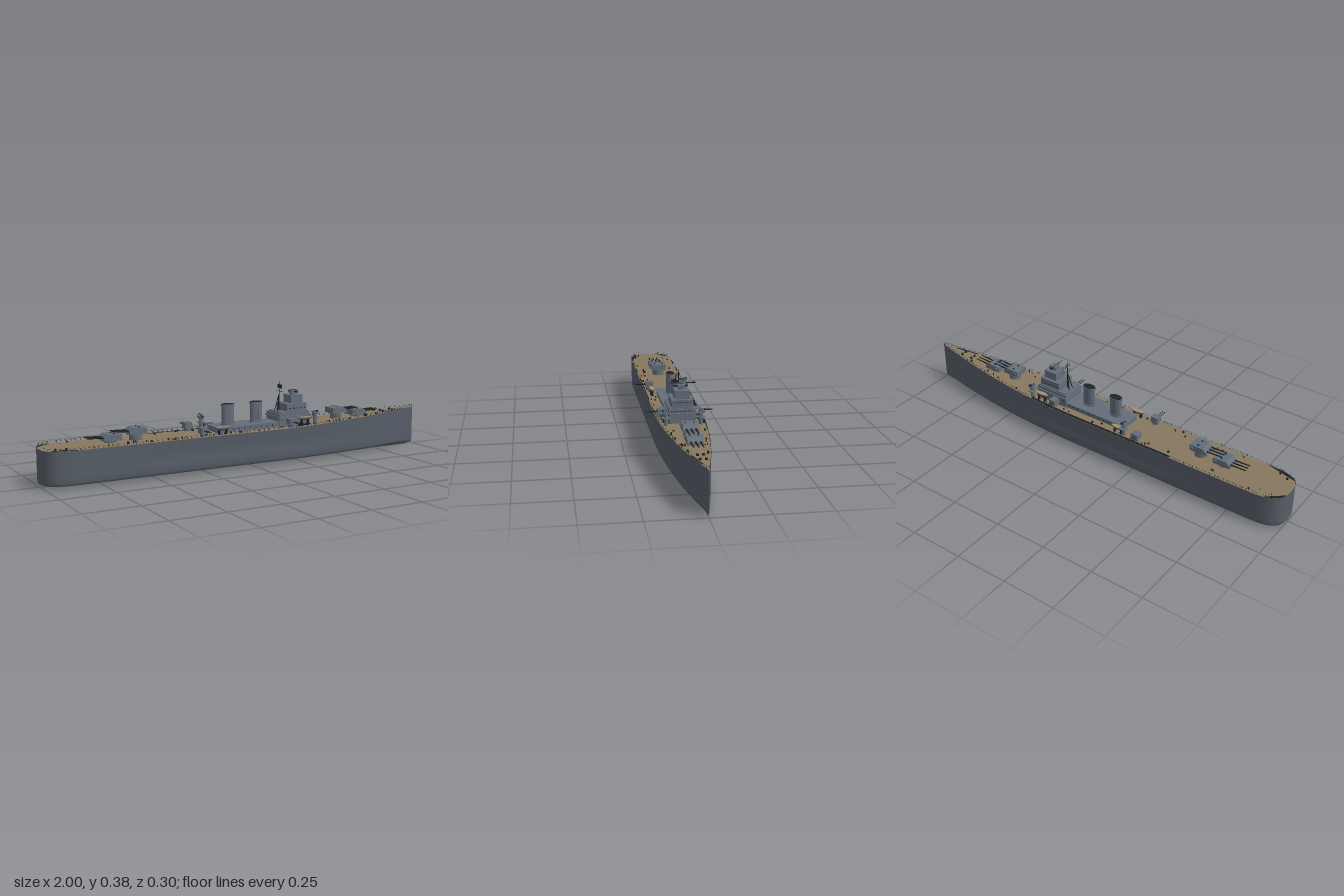
import * as THREE from 'three';
import { mergeGeometries } from 'three/addons/utils/BufferGeometryUtils.js';

const mat = (name, color, side = THREE.FrontSide) => {
  const m = new THREE.MeshStandardMaterial({ color, side });
  m.name = name;
  return m;
};

// Hull lines: half breadth and deck height along the ship (bow at +x)
const halfBeam = (x) => {
  if (x > 0.1) return 0.107 * (1 - ((x - 0.1) / 0.9) ** 2);
  if (x < -0.84) return 0.107 * Math.cbrt(Math.max(0, 1 - ((-0.84 - x) / 0.16) ** 3));
  return 0.107;
};
const deckY = (x) => 0.164 + 0.028 * Math.max(0, (x - 0.15) / 0.85) ** 1.5;
const stations = [];
for (let i = 0; i <= 14; i++) stations.push(-0.84 - 0.16 * Math.cos((i / 14) * Math.PI / 2));
for (let i = 1; i <= 44; i++) stations.push(-0.84 + 1.84 * i / 44);

function surface(points, index) {
  const g = new THREE.BufferGeometry();
  g.setAttribute('position', new THREE.Float32BufferAttribute(points, 3));
  g.setIndex(index);
  g.computeVertexNormals();
  return g;
}

// Skin the hull from cross-sections with a shallow bottom and midship bulge
function hullGeometry() {
  const pts = [], idx = [];
  const n = 17;
  stations.forEach((x, i) => {
    const h = halfBeam(x), top = deckY(x);
    const bulge = 0.05 * THREE.MathUtils.smoothstep(0.75 - Math.abs(x), 0, 0.4);
    const end = 0.012 * THREE.MathUtils.smoothstep(Math.abs(x), 0.94, 1);
    const half = [[1, top], [1 - bulge * 0.5, 0.125], [1 - bulge, 0.083], [1, 0.072], [1, 0.045],
      [0.995, 0.024], [0.95, 0.014], [0.5, 0.007 + end / 2]];
    const ring = [...half, [0, end * 0.7], ...half.map(([z, y]) => [-z, y]).reverse()];
    ring.forEach(([z, y]) => pts.push(x, y, z * h));
    if (i) for (let j = 0; j < n - 1; j++) {
      const a = (i - 1) * n + j, b = a + n;
      idx.push(a, a + 1, b, b, a + 1, b + 1);
    }
  });
  return surface(pts, idx);
}

// Horizontal strip between two z curves (zA greater than zB)
function strip(xs, zA, zB, lift) {
  const pts = [], idx = [];
  xs.forEach((x, i) => {
    pts.push(x, deckY(x) + lift, zA(x), x, deckY(x) + lift, zB(x));
    if (i) { const a = 2 * i - 2; idx.push(a, a + 2, a + 1, a + 1, a + 2, a + 3); }
  });
  return surface(pts, idx);
}

// Round bar between two points
function bar(a, b, r, sides = 6, r2 = r) {
  const p = new THREE.Vector3(...a), d = new THREE.Vector3(...b).sub(p);
  const g = new THREE.CylinderGeometry(r2, r, d.length(), sides);
  g.applyQuaternion(new THREE.Quaternion().setFromUnitVectors(new THREE.Vector3(0, 1, 0), d.clone().normalize()));
  return g.translate(p.x + d.x / 2, p.y + d.y / 2, p.z + d.z / 2);
}
// Box from its limits
const box = (x0, x1, y0, y1, z0, z1) =>
  new THREE.BoxGeometry(x1 - x0, y1 - y0, z1 - z0).translate((x0 + x1) / 2, (y0 + y1) / 2, (z0 + z1) / 2);
const drum = (x, y0, y1, z, r, sides = 20) => new THREE.CylinderGeometry(r, r, y1 - y0, sides).translate(x, (y0 + y1) / 2, z);

export function createModel() {
  const hullGrey = mat('hull grey', 0x565d67);
  const grey = mat('superstructure grey', 0x646d79);
  const wood = mat('deck planking', 0x87775f);
  const dark = mat('dark fittings', 0x1e2126, THREE.DoubleSide);
  const tan = mat('boat tan', 0xa58e6c);
  const ship = new THREE.Group();
  const add = (name, geo, m, parent = ship) => {
    const mesh = new THREE.Mesh(Array.isArray(geo) ? mergeGeometries(geo) : geo, m);
    mesh.name = name;
    parent.add(mesh);
    return mesh;
  };

  add('hull', hullGeometry(), hullGrey);
  add('deck', strip(stations, halfBeam, (x) => -halfBeam(x), 0), wood);

  // Dark waterway plates at the deck edge
  const span = (a, b) => Array.from({ length: 13 }, (_, i) => a + (b - a) * i / 12);
  const chord = (a, b) => (x) => THREE.MathUtils.lerp(halfBeam(a), halfBeam(b), (x - a) / (b - a));
  add('sideWaterway', strip(span(-0.45, 0.34), (x) => -halfBeam(x) + 0.014, (x) => -halfBeam(x), 0.0012), dark);
  add('sternPlateRight', strip(span(-0.998, -0.92), (x) => -chord(-0.998, -0.92)(x), (x) => -halfBeam(x), 0.0012), dark);
  add('sternPlateLeft', strip(span(-0.985, -0.83), halfBeam, chord(-0.985, -0.83), 0.0012), dark);
  add('bowPlate', strip(span(0.8, 0.92), halfBeam, (x) => halfBeam(x) - 0.008, 0.0012), dark);

  // Deck-edge railings
  const rails = [];
  for (const s of [1, -1]) {
    let last = null;
    for (let i = 0; i <= 90; i++) {
      const x = -0.994 + 1.99 * i / 90;
      const p = [x, deckY(x), s * halfBeam(x) * 0.985];
      const up = (q, h) => [q[0], q[1] + h, q[2]];
      rails.push(bar(p, up(p, 0.011), 0.0005, 4));
      if (last) for (const h of [0.006, 0.011]) rails.push(bar(up(last, h), up(p, h), 0.0003, 3));
      last = p;
    }
  }
  add('railings', rails, dark);

  // Main triple turrets; local +x is the muzzle side
  const plan = new THREE.Shape([[-0.042, 0], [-0.042, 0.027], [0.022, 0.029], [0.042, 0.014], [0.042, 0]]
    .map(([x, y]) => new THREE.Vector2(x, y)));
  const house = new THREE.ExtrudeGeometry(plan, { depth: 0.068, bevelEnabled: false }).translate(0, 0, -0.034);
  function turret(x, y, dir) {
    const g = new THREE.Group();
    g.name = 'mainTurret';
    add('gunhouse', house, grey, g);
    add('barbette', drum(0, deckY(x) - y - 0.002, 0.002, 0, 0.029, 24), grey, g);
    add('gunBarrels', [-0.02, 0, 0.02].map((z) => bar([0.025, 0.014, z], [0.115, 0.018, z], 0.0038, 10, 0.0024)), dark, g);
    add('rangefinder', box(-0.034, -0.024, 0.014, 0.022, -0.041, 0.041), grey, g);
    add('roofHatches', [-0.018, 0.018].map((z) => box(-0.012, -0.004, 0.027, 0.031, z - 0.003, z + 0.003)), dark, g);
    g.position.set(x, y, 0);
    if (dir < 0) g.rotation.y = Math.PI;
    ship.add(g);
  }
  turret(0.64, 0.183, 1);
  turret(0.52, 0.2, 1);
  turret(-0.555, 0.193, -1);
  turret(-0.675, 0.174, -1);

  // Long deckhouse and bridge tiers
  add('deckhouse', [box(-0.17, 0.2, 0.155, 0.19, -0.055, 0.055), box(-0.175, 0.2, 0.188, 0.191, -0.06, 0.06)], grey);
  add('bridge', [
    box(0.155, 0.325, 0.155, 0.228, -0.06, 0.06), box(0.15, 0.332, 0.212, 0.215, -0.066, 0.066),
    box(0.165, 0.32, 0.228, 0.234, -0.056, 0.056),
    box(0.205, 0.315, 0.23, 0.27, -0.048, 0.048), box(0.235, 0.302, 0.27, 0.308, -0.033, 0.033)], grey);
  add('director', [drum(0.268, 0.305, 0.317, 0, 0.013), box(0.25, 0.288, 0.315, 0.33, -0.016, 0.016)], grey);
  add('directorArms', [bar([0.268, 0.323, -0.03], [0.268, 0.323, 0.03], 0.004, 8),
    bar([0.262, 0.332, -0.012], [0.262, 0.333, 0.052], 0.0012), bar([0.24, 0.312, 0.02], [0.24, 0.312, 0.035], 0.001)], dark);
  const ports = [];
  for (let i = -4; i <= 4; i++) {
    ports.push(box(0.325, 0.3265, 0.219, 0.224, i * 0.012 - 0.002, i * 0.012 + 0.002));
    if (Math.abs(i) < 4) ports.push(box(0.315, 0.3162, 0.256, 0.261, i * 0.011 - 0.002, i * 0.011 + 0.002));
  }
  for (const s of [1, -1]) {
    for (let x = -0.15; x < 0.14; x += 0.03) ports.push(drum(0, -0.0007, 0.0007, 0, 0.003, 8).rotateX(Math.PI / 2).translate(x, 0.177, s * 0.0552));
    for (let x = 0.17; x < 0.32; x += 0.024) ports.push(drum(0, -0.0007, 0.0007, 0, 0.003, 8).rotateX(Math.PI / 2).translate(x, 0.198, s * 0.0602));
    for (let x = 0.22; x < 0.31; x += 0.02) ports.push(box(x, x + 0.006, 0.245, 0.25, s * 0.0482 - 0.0006, s * 0.0482 + 0.0006));
  }
  add('portholes', ports, dark);

  // Oval funnels with rims, dark mouths and side steps
  for (const x of [-0.09, 0.062]) {
    const g = new THREE.Group();
    g.name = 'funnel';
    const oval = (r, y0, y1) => drum(0, y0, y1, 0, r, 32).scale(1, 1, 0.6);
    add('funnelCasing', [oval(0.031, 0.185, 0.285), oval(0.035, 0.28, 0.288), oval(0.036, 0.188, 0.197)], grey, g);
    add('funnelMouth', oval(0.031, 0.287, 0.2895), dark, g);
    const steps = [];
    for (let i = 0; i < 5; i++) for (const s of [1, -1]) {
      steps.push(box(-0.0015, 0.0015, 0.21 + i * 0.014, 0.213 + i * 0.014, s * 0.0187 - 0.001, s * 0.0187 + 0.001));
    }
    add('funnelSteps', steps, dark, g);
    g.position.x = x;
    ship.add(g);
  }

  // Tripod mast with mesh radar screen
  const mast = [bar([0.19, 0.22, 0], [0.19, 0.376, 0], 0.003, 8, 0.0012), bar([0.19, 0.328, -0.03], [0.19, 0.328, 0.03], 0.001)];
  for (const s of [1, -1]) mast.push(bar([0.163, 0.19, s * 0.02], [0.189, 0.315, 0], 0.0018));
  for (let i = 0; i <= 8; i++) mast.push(bar([0.193, 0.342, -0.018 + i * 0.0045], [0.193, 0.36, -0.018 + i * 0.0045], 0.0004, 4));
  for (let i = 0; i <= 4; i++) mast.push(bar([0.193, 0.342 + i * 0.0045, -0.018], [0.193, 0.342 + i * 0.0045, 0.018], 0.0004, 4));
  add('mastAndRadar', mast, dark);

  for (const s of [1, -1]) {
    const zr = (a, b) => (s > 0 ? [a, b] : [-b, -a]);
    // Twin secondary mounts trained abeam
    for (const x of [-0.26, 0.21]) {
      add('secondaryMount', [box(x - 0.017, x + 0.017, 0.177, 0.205, ...zr(0.064, 0.1)), drum(x, 0.16, 0.178, s * 0.082, 0.015)], grey);
      add('secondaryBarrels', [-0.006, 0.006].map((d) => bar([x + d, 0.191, s * 0.09], [x + d, 0.191, s * 0.151], 0.0021, 8, 0.0015)), dark);
    }
    // Tilted side directors
    for (const x of s < 0 ? [-0.19, 0.345] : [0.345]) {
      add('sideDirector', [drum(x, 0.16, 0.216, s * 0.078, 0.009, 12), drum(x, 0.198, 0.202, s * 0.078, 0.02, 16),
        new THREE.BoxGeometry(0.024, 0.016, 0.024).rotateX(-s * 0.35).translate(x, 0.225, s * 0.08)], grey);
      add('directorLens', bar([x, 0.226, s * 0.066], [x, 0.234, s * 0.096], 0.005, 10), dark);
    }
    // Ship's boats on cradles
    for (const x of [-0.16, 0.285]) {
      const y = x > 0 ? 0.207 : 0.197;
      add('boatHull', new THREE.SphereGeometry(1, 16, 8, 0, Math.PI * 2, Math.PI / 2, Math.PI / 2).scale(0.036, 0.015, 0.012).translate(x, y, s * 0.08), grey);
      add('boatInterior', drum(0, -0.001, 0.001, 0, 1, 16).scale(0.035, 1, 0.0115).translate(x, y, s * 0.08), tan);
      add('boatCradle', [-0.018, 0.018].map((d) => box(x + d - 0.003, x + d + 0.003, 0.16, y - 0.01, ...zr(0.073, 0.087))), dark);
    }
  }

  // Small deck fittings: vents, lockers and bollards
  let seed = 7;
  const rnd = () => (seed = (seed * 16807) % 2147483647) / 2147483647;
  const fittings = [];
  for (let i = 0; i < 70; i++) {
    const x = -0.95 + 1.75 * rnd(), s = rnd() < 0.5 ? -1 : 1;
    const z = s * halfBeam(x) * (0.6 + 0.28 * rnd()), r = 0.0018 + 0.0025 * rnd(), h = 0.004 + 0.006 * rnd();
    fittings.push(i % 2 ? box(x - r, x + r, deckY(x) - 0.001, deckY(x) + h, z - r, z + r) : drum(x, deckY(x) - 0.001, deckY(x) + h, z, r, 8));
  }
  for (const x of [0.8, 0.86]) for (const s of [1, -1]) fittings.push(drum(x, deckY(x) - 0.001, deckY(x) + 0.007, s * 0.012, 0.006, 12));
  add('deckFittings', fittings, dark);
  return ship;
}
